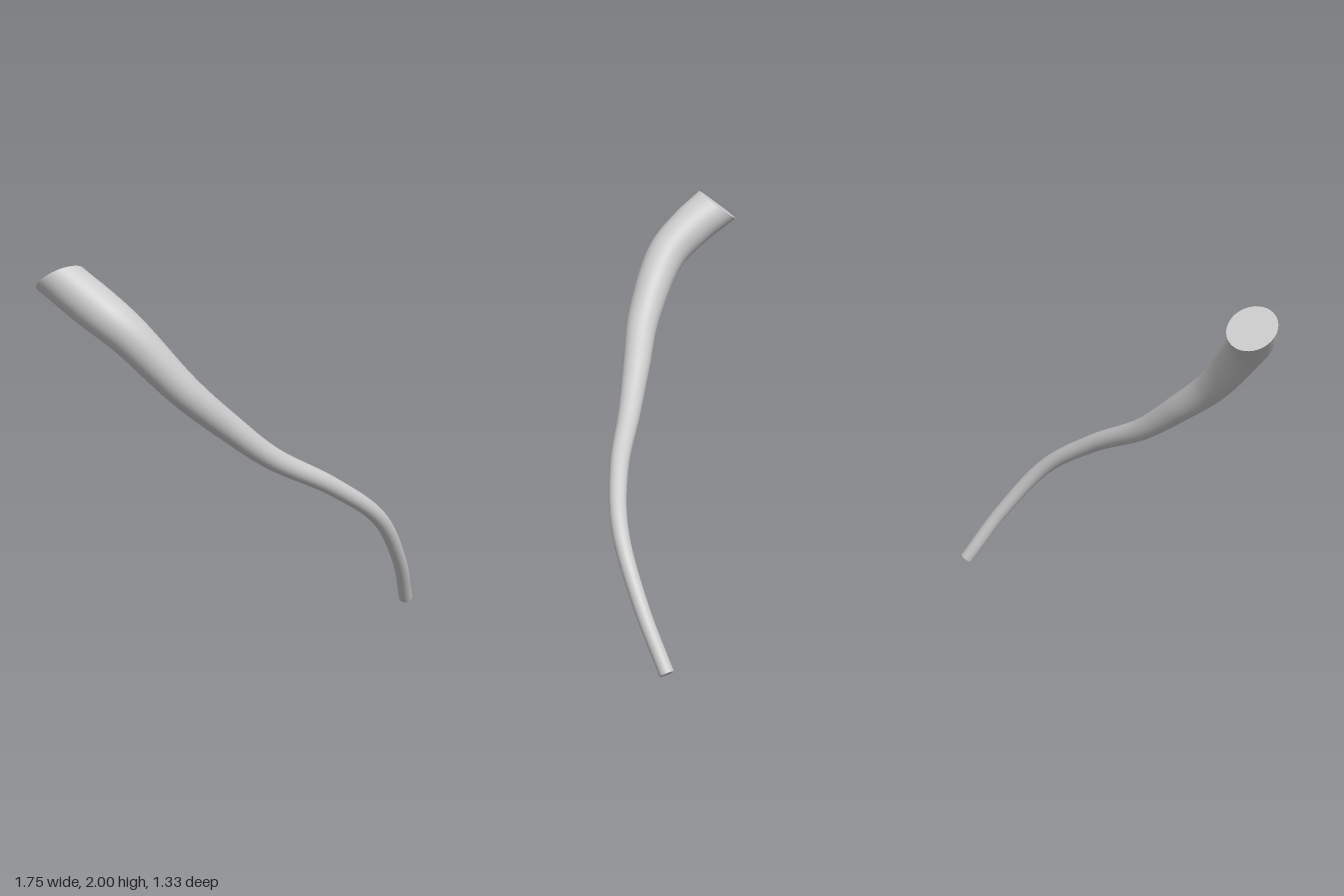
import * as THREE from 'three';

// Centreline stations: x, y, z, radius (thick upper end to thin lower end)
const STATIONS = [
  [-0.77, 1.93, 0.49, 0.122],
  [-0.61, 1.82, 0.54, 0.112],
  [-0.44, 1.69, 0.56, 0.101],
  [-0.18, 1.40, 0.48, 0.083],
  [0.01, 1.20, 0.35, 0.070],
  [0.21, 1.01, 0.21, 0.057],
  [0.49, 0.82, 0.01, 0.047],
  [0.71, 0.60, -0.21, 0.041],
  [0.81, 0.30, -0.44, 0.037],
  [0.84, 0.022, -0.633, 0.036],
];
const SIDES = 40, RINGS = 120;

export function createModel() {
  const group = new THREE.Group();
  const material = new THREE.MeshStandardMaterial({ color: 0xcccccc });
  const path = new THREE.CatmullRomCurve3(STATIONS.map(([x, y, z]) => new THREE.Vector3(x, y, z)), false, 'centripetal');
  const radii = new THREE.SplineCurve(STATIONS.map((s, i) => new THREE.Vector2(i, s[3])));
  const cutNormal = new THREE.Vector3(0.45, -0.8, 0.4).normalize();
  const reference = new THREE.Vector3(1, 0, 1).normalize();

  // One ring: centre, facing direction and radius; the upper rings lean into the slanted cut
  const ringAt = (t) => {
    const lean = 1 - THREE.MathUtils.smoothstep(t, 0, 0.2);
    return {
      centre: path.getPoint(t),
      normal: path.getTangent(t).lerp(cutNormal, lean).normalize(),
      radius: radii.getPoint(t).y,
    };
  };

  // Tapered body swept through the rings
  const positions = [], indices = [];
  for (let i = 0; i <= RINGS; i++) {
    const { centre, normal, radius } = ringAt(i / RINGS);
    const u = new THREE.Vector3().crossVectors(normal, reference).normalize();
    const v = new THREE.Vector3().crossVectors(normal, u);
    for (let j = 0; j < SIDES; j++) {
      const a = (j / SIDES) * Math.PI * 2;
      const p = centre.clone().addScaledVector(u, radius * Math.cos(a)).addScaledVector(v, radius * Math.sin(a));
      positions.push(p.x, p.y, p.z);
      if (i === RINGS) continue;
      const a0 = i * SIDES + j, a1 = i * SIDES + ((j + 1) % SIDES);
      indices.push(a0, a1, a0 + SIDES, a1, a1 + SIDES, a0 + SIDES);
    }
  }
  const bodyGeometry = new THREE.BufferGeometry();
  bodyGeometry.setAttribute('position', new THREE.Float32BufferAttribute(positions, 3));
  bodyGeometry.setIndex(indices);
  bodyGeometry.computeVertexNormals();
  const body = new THREE.Mesh(bodyGeometry, material);
  body.name = 'taperedStem';
  group.add(body);

  // Flat caps at both ends
  for (const [name, t, sign] of [['upperCap', 0, -1], ['lowerCap', 1, 1]]) {
    const { centre, normal, radius } = ringAt(t);
    const cap = new THREE.Mesh(new THREE.CircleGeometry(radius, SIDES), material);
    cap.name = name;
    cap.position.copy(centre);
    cap.quaternion.setFromUnitVectors(new THREE.Vector3(0, 0, 1), normal.multiplyScalar(sign));
    group.add(cap);
  }
  return group;
}
